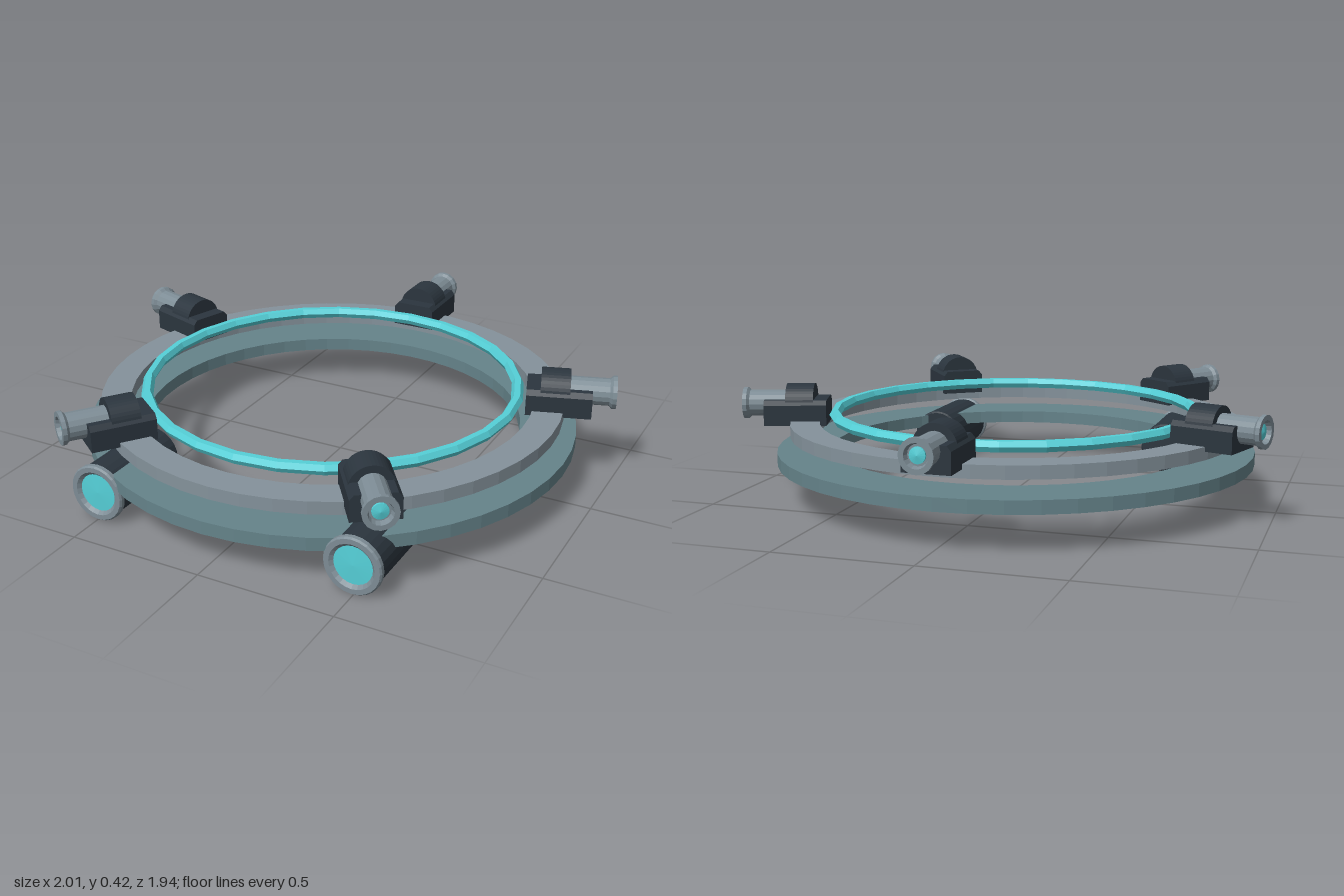
import * as THREE from 'three';

const mat = (color) => new THREE.MeshStandardMaterial({ color, flatShading: true });
const teal = mat(0x65838a), grey = mat(0x84929b), dark = mat(0x2b353e);
const steel = mat(0x7d8c95), glow = mat(0x55d0d8);

function add(parent, name, geometry, material, x = 0, y = 0, z = 0) {
  const mesh = new THREE.Mesh(geometry, material);
  mesh.name = name;
  mesh.position.set(x, y, z);
  parent.add(mesh);
  return mesh;
}

// Solid of revolution whose axis is laid along +z; points are [radius, z]
const turned = (points, sides) =>
  new THREE.LatheGeometry(points.map(([r, z]) => new THREE.Vector2(r, z)), sides).rotateX(Math.PI / 2);

// Flat ring with a rectangular section
const band = (inner, outer, y0, y1) => new THREE.LatheGeometry(
  [[inner, y0], [outer, y0], [outer, y1], [inner, y1], [inner, y0]].map(([r, y]) => new THREE.Vector2(r, y)), 48);

// Extrudes an xy outline from z0 to z1
const prism = (shape, z0, z1) =>
  new THREE.ExtrudeGeometry(shape, { depth: z1 - z0, bevelEnabled: false, curveSegments: 10 }).translate(0, 0, z0);

// One emitter, pointing outward along local +z
function createEmitter() {
  const emitter = new THREE.Group();
  emitter.name = 'emitter';

  // Housing with chamfered shoulders
  const block = new THREE.Shape([[-0.085, 0.268], [0.085, 0.268], [0.085, 0.345], [0.07, 0.363], [-0.07, 0.363], [-0.085, 0.345]]
    .map(([x, y]) => new THREE.Vector2(x, y)));
  add(emitter, 'emitterHousing', prism(block, 0.715, 0.95), dark);

  // Rounded cover over the barrel's root
  const dome = new THREE.Shape();
  dome.absarc(0, 0.34, 0.078, 0, Math.PI, false);
  add(emitter, 'emitterCover', prism(dome, 0.765, 0.87), dark);

  // Barrel with flared, hollow muzzle
  add(emitter, 'emitterBarrel', turned([[0, 0.85], [0.05, 0.85], [0.05, 1.01], [0.06, 1.02],
    [0.06, 1.035], [0.042, 1.035], [0.036, 1.015], [0, 1.015]], 16), steel, 0, 0.343, 0);
  add(emitter, 'emitterLens', turned([[0.028, 1.01], [0.028, 1.022], [0, 1.028]], 16), glow, 0, 0.343, 0);
  return emitter;
}

// Cylindrical thruster facing +z
function createThruster() {
  const thruster = new THREE.Group();
  thruster.name = 'thruster';
  add(thruster, 'thrusterBody', turned([[0, 0.51], [0.092, 0.51], [0.098, 0.516], [0.098, 0.85], [0, 0.85]], 24), dark);
  add(thruster, 'thrusterRim', turned([[0.098, 0.845], [0.105, 0.85], [0.105, 0.865], [0.1, 0.872],
    [0.082, 0.872], [0.07, 0.86], [0.07, 0.85]], 24), steel);
  add(thruster, 'thrusterLens', turned([[0.072, 0.845], [0.072, 0.86], [0, 0.863]], 24), glow);
  return thruster;
}

export function createModel() {
  const model = new THREE.Group();
  model.name = 'ringStation';

  // Stacked rings and emitters share a centre slightly forward of the origin
  const rings = new THREE.Group();
  rings.name = 'rings';
  rings.position.z = 0.06;
  model.add(rings);
  add(rings, 'lowerRing', band(0.7, 0.905, 0.135, 0.183), teal);
  add(rings, 'upperRing', band(0.745, 0.855, 0.238, 0.285), grey);
  add(rings, 'glowRing', new THREE.TorusGeometry(0.686, 0.022, 6, 28).rotateX(Math.PI / 2), glow, 0, 0.312, 0);

  // Five emitters, the first at the back
  for (let i = 0; i < 5; i++) {
    const emitter = createEmitter();
    emitter.rotation.y = Math.PI + (i * Math.PI * 2) / 5;
    rings.add(emitter);
  }

  // Thruster pair under the front
  for (const side of [-1, 1]) {
    const thruster = createThruster();
    thruster.position.set(side * 0.495, 0.105, 0);
    model.add(thruster);
  }
  return model;
}
